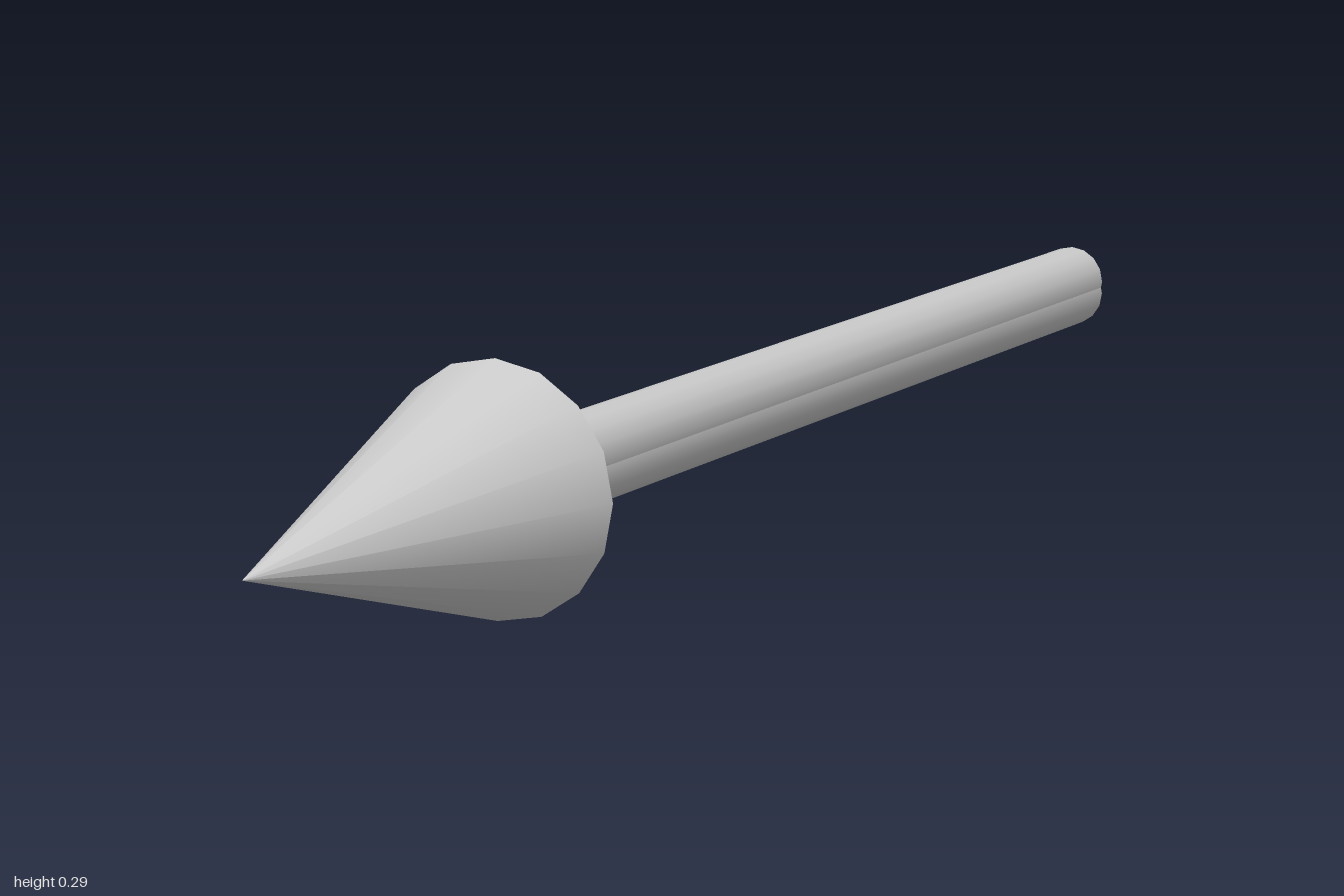
import * as THREE from 'three';

export function createModel() {
  const group = new THREE.Group();
  const axisY = 0.146;
  const neckZ = 0.525;
  const solid = new THREE.MeshStandardMaterial({ color: 0xcccccc });
  const open = new THREE.MeshStandardMaterial({ color: 0xcccccc, side: THREE.DoubleSide });

  function add(name, geometry, material, y, z0, z1) {
    geometry.rotateX(Math.PI / 2); // lay the axis along z, tip to the front
    const mesh = new THREE.Mesh(geometry, material);
    mesh.name = name;
    mesh.position.set(0, y, (z0 + z1) / 2);
    group.add(mesh);
  }

  // Pointed head with a flat back
  add('arrowHead', new THREE.ConeGeometry(0.143, 1 - neckZ, 16), solid, axisY, neckZ, 1);

  // Hollow shaft, open at the back: two overlapping tubes, one slightly above the other
  for (const [name, dy] of [['upperShaft', 0.009], ['lowerShaft', -0.007]]) {
    const tube = new THREE.CylinderGeometry(0.045, 0.045, 1 + neckZ, 16, 1, true);
    add(name, tube, open, axisY + dy, -1, neckZ);
  }
  return group;
}
